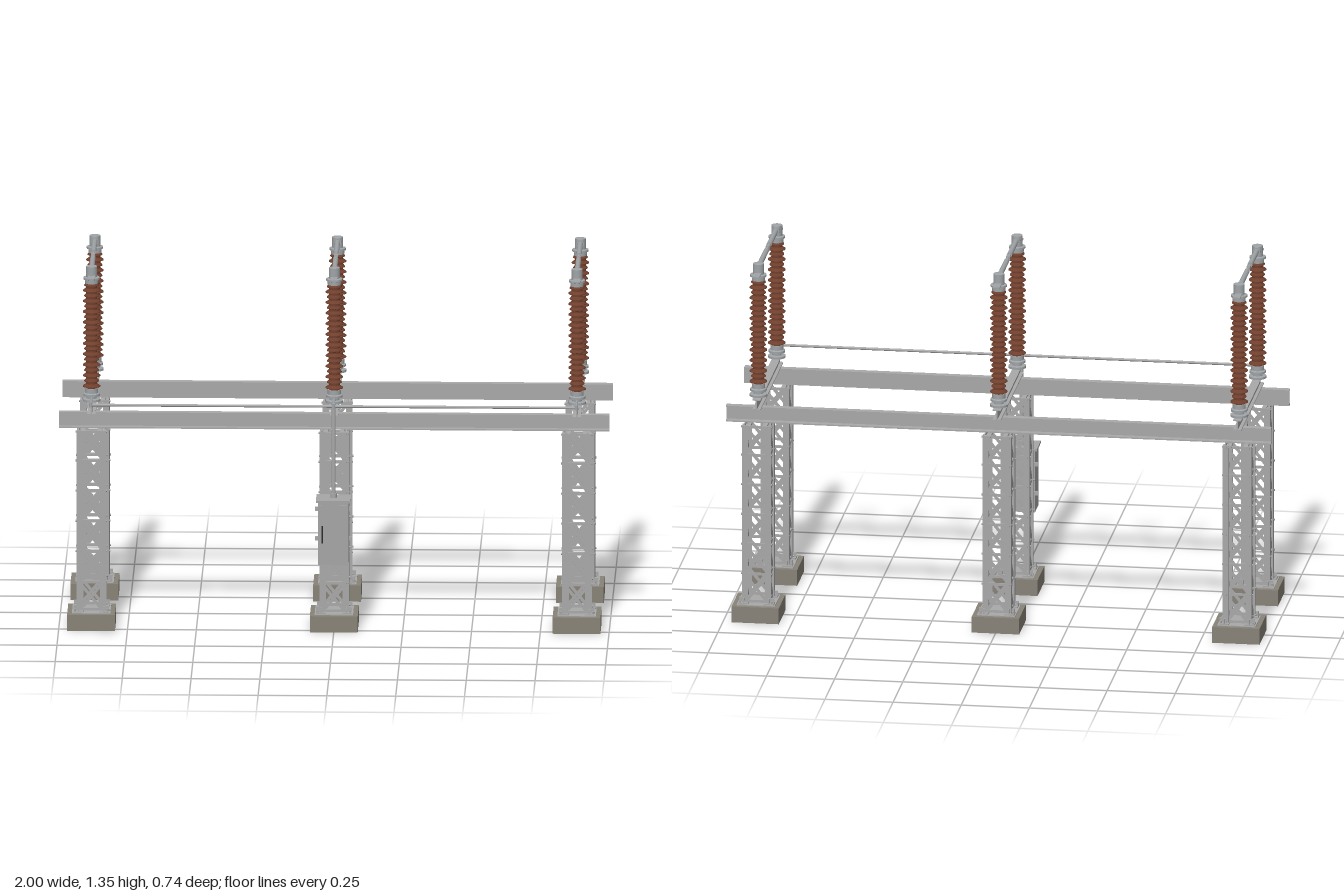
import * as THREE from 'three';
import { mergeGeometries } from 'three/addons/utils/BufferGeometryUtils.js';

const mat = (name, color) => {
  const m = new THREE.MeshStandardMaterial({ color });
  m.name = name;
  return m;
};

// box geometry centred at x, y, z
const box = (w, h, d, x = 0, y = 0, z = 0) => new THREE.BoxGeometry(w, h, d).translate(x, y, z);

// round rod between two points
function rod(a, b, r, sides = 16) {
  const p = new THREE.Vector3(...a), q = new THREE.Vector3(...b);
  const dir = q.clone().sub(p);
  const g = new THREE.CylinderGeometry(r, r, dir.length(), sides);
  g.applyQuaternion(new THREE.Quaternion().setFromUnitVectors(new THREE.Vector3(0, 1, 0), dir.clone().normalize()));
  const c = p.add(q).multiplyScalar(0.5);
  return g.translate(c.x, c.y, c.z);
}

// lathe from [radius, y] pairs, with each segment kept sharp
function turned(points, sides = 24) {
  const parts = [];
  for (let i = 0; i < points.length - 1; i++) {
    parts.push(new THREE.LatheGeometry([points[i], points[i + 1]].map(p => new THREE.Vector2(...p)), sides));
  }
  return mergeGeometries(parts);
}

const XS = [-0.882, 0, 0.882], ZF = 0.19, ZB = -0.283;
const Y0 = 0.062, Y1 = 0.74, HALF = 0.053, PANELS = 6;

// lattice column with angle legs, cross bracing and feet
function latticeGeometry() {
  const parts = [], leg = 0.022, t = 0.004;
  const step = (Y1 - Y0) / PANELS, mid = (Y0 + Y1) / 2;
  for (const sx of [-1, 1]) for (const sz of [-1, 1]) {
    parts.push(box(leg, Y1 - Y0, t, sx * (HALF - leg / 2), mid, sz * (HALF - t / 2)));
    parts.push(box(t, Y1 - Y0, leg, sx * (HALF - t / 2), mid, sz * (HALF - leg / 2)));
    // foot plate, gussets and anchor bolt
    parts.push(box(0.036, 0.006, 0.036, sx * 0.047, Y0 + 0.003, sz * 0.047));
    parts.push(box(0.014, 0.022, t, sx * 0.058, Y0 + 0.012, sz * 0.046));
    parts.push(box(t, 0.022, 0.014, sx * 0.046, Y0 + 0.012, sz * 0.058));
    parts.push(rod([sx * 0.059, Y0, sz * 0.059], [sx * 0.059, Y0 + 0.014, sz * 0.059], 0.004, 6));
  }
  for (let f = 0; f < 4; f++) {
    const face = [];
    const w = 2 * HALF - 0.024, len = Math.hypot(w, step - 0.012), ang = Math.atan2(step - 0.012, w);
    for (let i = 0; i <= PANELS; i++) {
      const y = Math.min(Math.max(Y0 + i * step, Y0 + 0.01), Y1 - 0.006);
      face.push(box(2 * HALF - 0.008, 0.01, 0.004, 0, y, HALF - 0.006));
      for (const s of [-1, 1]) {
        // joint bolts
        face.push(rod([s * 0.043, y, HALF - 0.002], [s * 0.043, y, HALF + 0.004], 0.004, 6));
        if (i < PANELS) {
          face.push(new THREE.BoxGeometry(len, 0.011, 0.004).rotateZ(s * ang)
            .translate(0, Y0 + (i + 0.5) * step, HALF - 0.006 - (s + 1) * 0.002));
        }
      }
    }
    parts.push(mergeGeometries(face).rotateY(f * Math.PI / 2));
  }
  // seat bars under the beam
  for (const x of [-0.03, 0.03]) parts.push(box(0.016, 0.006, 2 * HALF, x, Y1 - 0.004, 0));
  return mergeGeometries(parts);
}

// ribbed insulator with alternating large and small sheds
function insulatorGeometry(y0, y1, n) {
  const pts = [[0.02, y0]], p = (y1 - y0) / n;
  for (let i = 0; i < n; i++) {
    const y = y0 + i * p, r = i % 2 ? 0.027 : 0.032;
    pts.push([0.02, y + p * 0.2], [r, y + p * 0.3], [r, y + p * 0.42], [0.02, y + p * 0.85]);
  }
  pts.push([0.02, y1]);
  return turned(pts);
}

export function createModel() {
  const model = new THREE.Group();
  model.name = 'disconnectSwitch';
  const steel = mat('galvanised steel', 0xa9a9a9);
  const fitting = mat('cast fittings', 0xa0a4a6);
  const concrete = mat('concrete', 0x888378);
  const brown = mat('brown porcelain', 0x703f2d);
  const cabinetGrey = mat('cabinet grey', 0xa6a6a6);
  const dark = mat('dark handle', 0x2a2a2a);
  const add = (name, geo, material, parent = model) => {
    const m = new THREE.Mesh(geo, material);
    m.name = name;
    parent.add(m);
    return m;
  };

  // footings and lattice columns
  const lattice = latticeGeometry();
  for (const x of XS) for (const z of [ZF, ZB]) {
    const column = new THREE.Group();
    column.name = 'column';
    column.position.set(x, 0, z);
    add('footing', box(0.174, 0.06, 0.174, 0, 0.03, 0), concrete, column);
    add('basePlate', box(0.14, 0.004, 0.14, 0, 0.061, 0), steel, column);
    add('latticeTower', lattice, steel, column);
    model.add(column);
  }

  // long channels, open to the outside
  for (const [z, s, name] of [[ZF, 1, 'frontChannel'], [ZB, -1, 'rearChannel']]) {
    add(name, mergeGeometries([
      box(2, 0.06, 0.004, 0, 0.77, z - s * 0.011),
      box(2, 0.005, 0.026, 0, 0.7975, z),
      box(2, 0.005, 0.026, 0, 0.7425, z),
    ]), steel);
  }

  const sheds = insulatorGeometry(0.888, 1.285, 20);
  const lowerFitting = turned([[0, 0.84], [0.032, 0.84], [0.032, 0.848], [0.018, 0.85], [0.018, 0.858],
    [0.03, 0.86], [0.03, 0.868], [0.024, 0.871], [0.024, 0.888], [0, 0.888]]);
  const upperFitting = turned([[0, 1.28], [0.024, 1.28], [0.024, 1.293], [0.03, 1.295], [0.03, 1.302],
    [0.02, 1.304], [0.02, 1.343], [0, 1.345]]);

  for (const x of XS) {
    const pole = new THREE.Group();
    pole.name = 'switchPole';
    pole.position.x = x;
    model.add(pole);
    // cross beam
    add('crossBeam', mergeGeometries([
      box(0.006, 0.04, 0.585, 0, 0.82, -0.043),
      box(0.03, 0.004, 0.585, 0, 0.838, -0.043),
      box(0.03, 0.004, 0.585, 0, 0.802, -0.043),
    ]), steel, pole);
    for (const [z, s] of [[ZF, 1], [ZB, -1]]) {
      add('insulator', sheds, brown, pole).position.z = z;
      add('lowerFitting', lowerFitting, fitting, pole).position.z = z;
      add('upperFitting', upperFitting, fitting, pole).position.z = z;
      // line terminal
      add('terminalPad', box(0.026, 0.005, 0.06, 0, 1.309, z + s * 0.039), fitting, pole);
      // blade arm
      const tip = s > 0 ? -0.008 : -0.078;
      add('bladeArm', mergeGeometries([
        rod([0, 1.329, z], [0, 1.329, tip], 0.0095),
        rod([0, 1.329, z - s * 0.016], [0, 1.329, z - s * 0.03], 0.014),
      ]), fitting, pole);
    }
    // centre contact
    add('centreContact', mergeGeometries([
      rod([0, 1.329, -0.005], [0, 1.329, -0.08], 0.005),
      box(0.014, 0.014, 0.022, 0, 1.329, -0.038),
    ]), fitting, pole);
    // crank to the linkage
    add('crank', mergeGeometries([
      rod([0, 0.855, ZF], [0, 0.855, 0.302], 0.0045),
      rod([0, 0.843, 0.302], [0, 0.862, 0.302], 0.007),
    ]), fitting, pole);
  }

  // operating linkage
  add('linkageRod', rod([-0.882, 0.851, 0.302], [0.882, 0.851, 0.302], 0.005), steel);
  add('driveShaft', mergeGeometries([
    rod([0, 0.51, 0.302], [0, 0.855, 0.302], 0.007),
    rod([0, 0.51, 0.302], [0, 0.528, 0.302], 0.012),
  ]), steel);

  // control cabinet
  const cabinet = new THREE.Group();
  cabinet.name = 'controlCabinet';
  model.add(cabinet);
  add('cabinetBody', box(0.11, 0.235, 0.086, 0, 0.3855, 0.303), cabinetGrey, cabinet);
  add('cabinetRoof', box(0.126, 0.008, 0.104, 0, 0.507, 0.306), cabinetGrey, cabinet);
  add('cabinetDoor', box(0.1, 0.216, 0.006, 0, 0.384, 0.349), cabinetGrey, cabinet);
  add('doorHandle', mergeGeometries([
    box(0.006, 0.062, 0.005, -0.04, 0.385, 0.366),
    box(0.006, 0.005, 0.016, -0.04, 0.414, 0.359),
    box(0.006, 0.005, 0.016, -0.04, 0.356, 0.359),
  ]), dark, cabinet);
  // brackets to the column
  const brackets = [];
  for (const y of [0.345, 0.455]) {
    brackets.push(box(0.136, 0.016, 0.006, 0, y, 0.249));
    for (const s of [-1, 1]) {
      brackets.push(box(0.01, 0.016, 0.02, s * 0.045, y, 0.256));
      brackets.push(rod([s * 0.062, y, 0.243], [s * 0.062, y, 0.26], 0.005, 6));
    }
  }
  add('mountingBrackets', mergeGeometries(brackets), steel, cabinet);

  return model;
}
